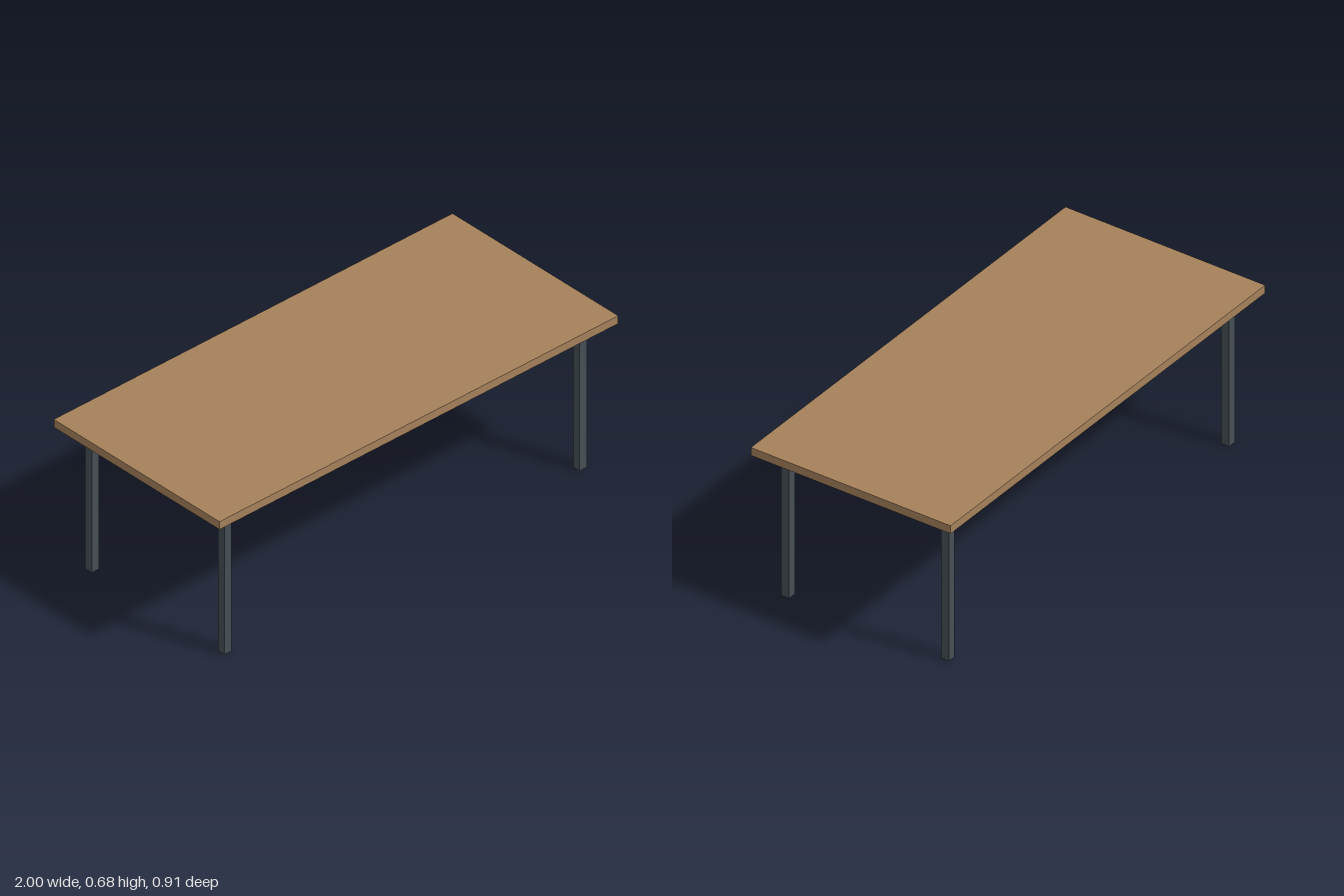
import * as THREE from 'three';

export function createModel() {
  const table = new THREE.Group();
  table.name = 'table';

  const wood = new THREE.MeshStandardMaterial({ color: 0xa5815b });
  wood.name = 'wood';
  const metal = new THREE.MeshStandardMaterial({ color: 0x454f56 });
  metal.name = 'dark metal';

  const box = (name, material, size, position) => {
    const mesh = new THREE.Mesh(new THREE.BoxGeometry(...size), material);
    mesh.name = name;
    mesh.position.set(...position);
    table.add(mesh);
  };

  const topY = 0.64, topThick = 0.035; // underside and thickness of the top
  const legX = 0.891, legZ = 0.3635, leg = 0.036; // leg centres and width
  const railY = 0.6115, railH = 0.049, railT = 0.027;

  // Table top
  box('tableTop', wood, [2, topThick, 0.909], [0, topY + topThick / 2, 0]);

  for (const s of [-1, 1]) {
    const side = s > 0 ? 'Left' : 'Right';
    const end = s > 0 ? 'front' : 'back';

    // Square legs
    for (const f of [-1, 1]) {
      box((f > 0 ? 'front' : 'back') + side + 'Leg', metal, [leg, topY, leg], [s * legX, topY / 2, f * legZ]);
    }

    // Rails between the legs, just short of the top
    box(end + 'Rail', metal, [2 * legX - leg, railH, railT], [0, railY, s * legZ]);
    box(side.toLowerCase() + 'Rail', metal, [railT, railH, 2 * legZ - leg], [s * legX, railY, 0]);
  }

  return table;
}
